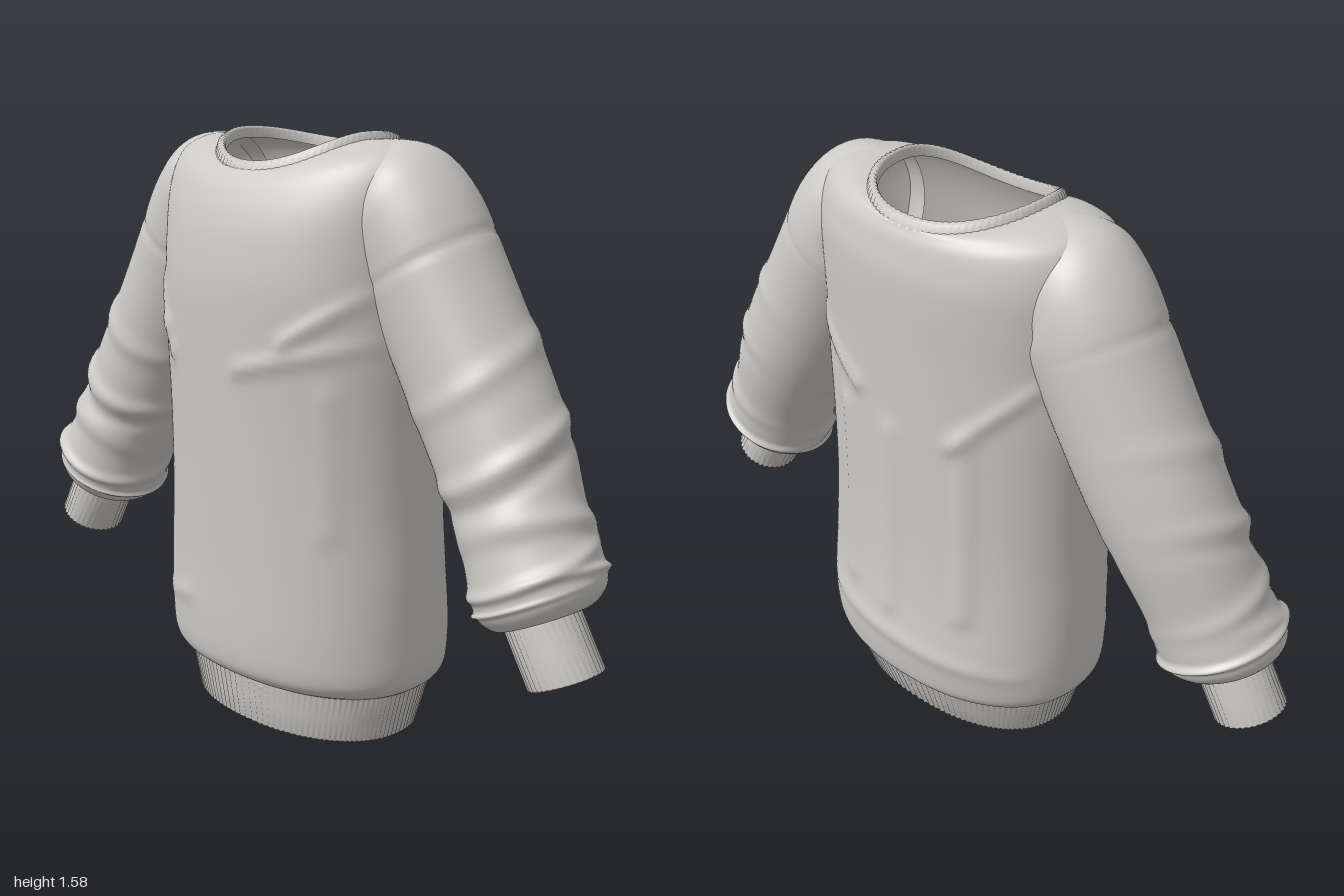
import * as THREE from 'three';

const wool = new THREE.MeshStandardMaterial({ color: 0xcbc9c5, side: THREE.DoubleSide });
wool.name = 'light grey wool';

// Smooth interpolation through a table of cross-sections, t from 0 to 1
function sample(table, t) {
  const last = table.length - 1;
  const f = Math.min(t * last, last - 1e-6);
  const i = Math.floor(f), u = f - i;
  const row = k => table[Math.max(0, Math.min(last, k))];
  return table[0].map((_, k) => {
    const [p, a, b, q] = [row(i - 1)[k], row(i)[k], row(i + 1)[k], row(i + 2)[k]];
    return a + 0.5 * u * (b - p + u * (2 * p - 5 * a + 4 * b - q + u * (3 * (a - b) + q - p)));
  });
}

// Closed rings joined into a smooth skin
function loft(name, rows, cols, point, flip = false) {
  const pos = [], index = [];
  for (let i = 0; i <= rows; i++) {
    for (let j = 0; j < cols; j++) {
      pos.push(...point(i, (j / cols) * Math.PI * 2, j));
      if (i === rows) continue;
      const a = i * cols + j, b = i * cols + (j + 1) % cols, c = a + cols, d = b + cols;
      if (flip) index.push(a, b, c, b, d, c);
      else index.push(a, c, b, b, c, d);
    }
  }
  const g = new THREE.BufferGeometry();
  g.setAttribute('position', new THREE.Float32BufferAttribute(pos, 3));
  g.setIndex(index);
  g.computeVertexNormals();
  const mesh = new THREE.Mesh(g, wool);
  mesh.name = name;
  return mesh;
}

const bump = (d, w) => Math.exp(-(d * d) / (w * w));

// Horizontal section: half width, front depth, back depth, heights at side, front and back
function ring([rx, zf, zb, ys, yf, yb], th, power) {
  const c = Math.cos(th), s = Math.sin(th);
  const x = Math.sign(c) * Math.abs(c) ** (2 / power) * rx;
  const z = Math.sign(s) * Math.abs(s) ** (2 / power) * (s > 0 ? zf : zb);
  return [x, ys + ((s > 0 ? yf : yb) - ys) * s * s, z];
}

const bodySections = [
  [0.385, 0.25, 0.265, 0.14, 0.14, 0.14],
  [0.41, 0.28, 0.287, 0.16, 0.16, 0.16],
  [0.427, 0.297, 0.298, 0.2, 0.2, 0.2],
  [0.43, 0.302, 0.303, 0.3, 0.3, 0.3],
  [0.427, 0.3, 0.282, 0.45, 0.45, 0.45],
  [0.417, 0.3, 0.268, 0.65, 0.65, 0.65],
  [0.418, 0.302, 0.264, 0.85, 0.85, 0.85],
  [0.425, 0.308, 0.262, 1.05, 1.05, 1.05],
  [0.425, 0.309, 0.262, 1.2, 1.2, 1.2],
  [0.428, 0.295, 0.264, 1.33, 1.31, 1.32],
  [0.43, 0.277, 0.262, 1.42, 1.38, 1.4],
  [0.42, 0.256, 0.253, 1.49, 1.43, 1.45],
  [0.395, 0.238, 0.243, 1.535, 1.46, 1.49],
  [0.35, 0.223, 0.233, 1.557, 1.478, 1.512],
  [0.295, 0.213, 0.227, 1.565, 1.487, 1.522],
  [0.235, 0.203, 0.218, 1.563, 1.488, 1.524],
];

// Body folds: x1, y1, x2, y2, width, height, side (1 front, -1 back)
const folds = [
  [0.38, 1.2, 0.2, 1.08, 0.022, 0.014, 1],
  [0.38, 1.08, 0.06, 1.0, 0.022, 0.012, 1],
  [-0.34, 1.18, -0.23, 1.0, 0.022, 0.014, 1],
  [-0.34, 1.08, -0.25, 1.07, 0.022, 0.01, 1],
  [0.3, 0.95, 0.3, 0.6, 0.03, 0.008, 1],
  [-0.38, 0.3, -0.18, 0.34, 0.025, 0.008, 1],
  [0.36, 1.15, 0.16, 1.04, 0.022, 0.014, -1],
  [-0.36, 1.18, -0.16, 0.98, 0.022, 0.014, -1],
  [-0.2, 1.0, -0.2, 0.45, 0.03, 0.012, -1],
  [0.04, 0.95, 0.04, 0.4, 0.03, 0.01, -1],
  [0.22, 0.95, 0.2, 0.42, 0.03, 0.012, -1],
  [-0.35, 0.28, 0.3, 0.32, 0.025, 0.008, -1],
];

function foldHeight(x, y, side) {
  let h = 0;
  for (const [x1, y1, x2, y2, w, k, s] of folds) {
    if (s !== side) continue;
    const dx = x2 - x1, dy = y2 - y1;
    const t = THREE.MathUtils.clamp(((x - x1) * dx + (y - y1) * dy) / (dx * dx + dy * dy), 0, 1);
    h += k * bump(Math.hypot(x - x1 - dx * t, y - y1 - dy * t), w);
  }
  return h;
}

// Sleeve sections: centre x, y, z, tilt in degrees, radius across, radius in depth
const sleeveSections = [
  [0.3, 1.38, 0, 90, 0.186, 0.165],
  [0.353, 1.371, 0, 75, 0.19, 0.172],
  [0.379, 1.336, -0.005, 53, 0.189, 0.176],
  [0.42, 1.275, -0.008, 31, 0.177, 0.176],
  [0.51, 1.115, -0.008, 30, 0.178, 0.172],
  [0.6, 0.96, -0.005, 30, 0.178, 0.17],
  [0.68, 0.82, 0.005, 28, 0.171, 0.166],
  [0.755, 0.67, 0.025, 27, 0.16, 0.158],
  [0.805, 0.57, 0.038, 26, 0.168, 0.162],
  [0.826, 0.52, 0.042, 25, 0.16, 0.155],
  [0.838, 0.488, 0.048, 25, 0.125, 0.122],
  [0.837, 0.485, 0.055, 25, 0.09, 0.09],
];

// Sleeve creases: position along, slant, width, height, facing angle
const creases = [
  [0.275, 0.01, 0.007, -0.005, 0.4],
  [0.42, 0.03, 0.016, 0.009, 0.5],
  [0.53, 0.03, 0.014, 0.014, 0.8],
  [0.56, 0.03, 0.012, -0.008, 0.8],
  [0.64, -0.02, 0.018, 0.012, 0.2],
  [0.7, 0.03, 0.016, 0.012, 1.2],
  [0.74, -0.02, 0.014, 0.013, -1.2],
  [0.78, 0.015, 0.013, 0.01, 2.6],
];

function sleevePoint([cx, cy, cz, tilt, a, b], phi, side, extra) {
  const r = THREE.MathUtils.degToRad(tilt);
  const u = Math.cos(phi) * (a + extra);
  return [side * (cx + Math.cos(r) * u), cy + Math.sin(r) * u, cz + Math.sin(phi) * (b + extra)];
}

export function createModel() {
  const sweater = new THREE.Group();
  sweater.name = 'sweater';

  // Body, from the hem seam up over the shoulders to the neck
  sweater.add(loft('body', 150, 144, (i, th) => {
    const p = ring(sample(bodySections, i / 150), th, 2.2);
    const side = Math.sin(th) >= 0 ? 1 : -1;
    p[2] += side * Math.abs(Math.sin(th)) * foldHeight(p[0], p[1], side);
    return p;
  }));

  // Ribbed hem with a turned inner face
  const hem = [
    [0.36, 0.23, 0.245, 0.14], [0.335, 0.213, 0.203, 0.008], [0.341, 0.222, 0.211, 0],
    [0.352, 0.234, 0.222, 0.008], [0.369, 0.243, 0.246, 0.075], [0.388, 0.252, 0.27, 0.148],
  ];
  sweater.add(loft('hem', hem.length - 1, 240, (i, th, j) => {
    const [rx, zf, zb, y] = hem[i], rib = i > 1 && j % 2 ? 0.006 : 0;
    return ring([rx - rib, zf - rib, zb - rib, y, y, y], th, 2.2);
  }));

  // Ribbed collar: inner face, rounded top, outer face
  const collar = [[-0.012, -0.012], [-0.012, 0.012], [-0.004, 0.019], [0.008, 0.014], [0.015, -0.008]];
  sweater.add(loft('collar', collar.length - 1, 160, (i, th, j) => {
    const [out, up] = collar[4 - i], rib = i < 3 && j % 2 ? 0.004 : 0;
    const o = out - rib;
    return ring([0.232 + o, 0.202 + o, 0.217 + o, 1.563 + up, 1.49 + up, 1.526 + up], th, 2.2);
  }));

  // Sleeves and ribbed cuffs
  const cuff = [
    [0.832, 0.495, 0.095], [0.875, 0.42, 0.095], [0.912, 0.356, 0.095],
    [0.914, 0.352, 0.09], [0.912, 0.356, 0.083], [0.835, 0.492, 0.083],
  ];
  for (const side of [1, -1]) {
    const label = side > 0 ? 'left' : 'right';
    sweater.add(loft(label + 'Sleeve', 150, 72, (i, phi) => {
      const v = i / 150;
      let extra = 0;
      for (const [at, slant, w, h, facing] of creases) {
        const turn = facing + (side < 0 ? 0.6 : 0);
        extra += h * bump(v - at - slant * Math.sin(phi), w) * (0.5 + 0.5 * Math.cos(phi - turn));
      }
      return sleevePoint(sample(sleeveSections, v), phi, side, extra);
    }, side > 0));
    sweater.add(loft(label + 'Cuff', cuff.length - 1, 72, (i, phi, j) => {
      const [x, y, r] = cuff[i];
      return sleevePoint([x, y, 0.056, 25, r, r], phi, side, j % 2 ? -0.005 : 0);
    }, side > 0));
  }
  return sweater;
}
